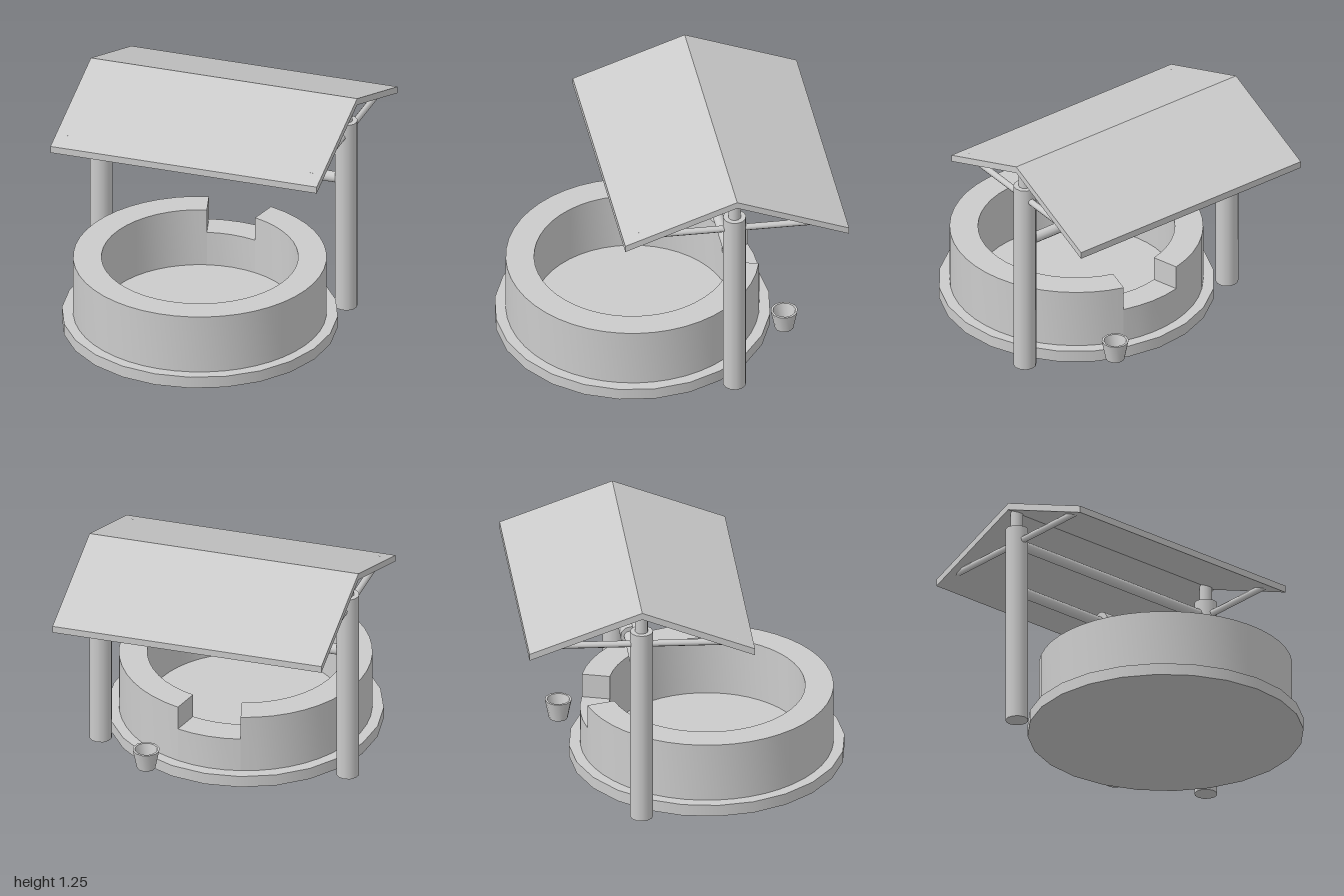
import * as THREE from 'three';
import { toCreasedNormals } from 'three/addons/utils/BufferGeometryUtils.js';

const material = new THREE.MeshStandardMaterial({ color: 0xcccccc });
const openMaterial = new THREE.MeshStandardMaterial({ color: 0xcccccc, side: THREE.DoubleSide });
const V = (x, y, z) => new THREE.Vector3(x, y, z);

export function createModel() {
  const model = new THREE.Group();

  const add = (name, geometry, x = 0, y = 0, z = 0, mat = material) => {
    const mesh = new THREE.Mesh(geometry, mat);
    mesh.name = name;
    mesh.position.set(x, y, z);
    model.add(mesh);
    return mesh;
  };

  // Round bar between two points
  const rod = (name, a, b, radius, sides = 12) => {
    const mesh = add(name, new THREE.CylinderGeometry(radius, radius, a.distanceTo(b), sides));
    mesh.position.copy(a).add(b).multiplyScalar(0.5);
    mesh.quaternion.setFromUnitVectors(V(0, 1, 0), b.clone().sub(a).normalize());
    return mesh;
  };

  // Part of a ring wall, swept from angle a0 to a1 in 15 degree facets
  const ringSector = (inner, outer, height, a0, a1) => {
    const start = THREE.MathUtils.degToRad(a0), end = THREE.MathUtils.degToRad(a1);
    const shape = new THREE.Shape();
    shape.absarc(0, 0, outer, start, end, false);
    shape.absarc(0, 0, inner, end, start, true);
    shape.closePath();
    const geometry = new THREE.ExtrudeGeometry(shape, {
      depth: height, bevelEnabled: false, curveSegments: Math.round((a1 - a0) / 15),
    });
    geometry.rotateX(-Math.PI / 2);
    return toCreasedNormals(geometry, 0.5);
  };

  // Stone base and wall, with a lowered notch on one side
  const wellX = -0.27, wellZ = 0.2, baseTop = 0.065;
  add('base', new THREE.CylinderGeometry(0.73, 0.73, baseTop, 24), wellX, baseTop / 2, wellZ);
  add('wall', ringSector(0.52, 0.67, 0.33, 45, 375), wellX, baseTop, wellZ);
  add('wallNotch', ringSector(0.52, 0.67, 0.195, 15, 45), wellX, baseTop, wellZ);

  // Frame axes: across the roof and along its ridge
  const across = V(0.526, 0, -0.281);
  const along = V(0.767, 0, 1.262);
  const acrossUnit = across.clone().normalize();
  const center = V(0.09, 0, -0.021);
  const front = V(0.44, 0, 0.56), back = V(-0.265, 0, -0.6);

  // Posts with narrow tops and a cross bar under the roof
  for (const [side, foot] of [['front', front], ['back', back]]) {
    add(side + 'Post', new THREE.CylinderGeometry(0.061, 0.061, 1.11, 12), foot.x, 0.555, foot.z);
    add(side + 'PostTop', new THREE.CylinderGeometry(0.034, 0.034, 0.12, 12), foot.x, 1.16, foot.z);
    const mid = foot.clone().setY(1.035);
    rod(side + 'CrossBar', mid.clone().addScaledVector(acrossUnit, -0.51),
      mid.clone().addScaledVector(acrossUnit, 0.51), 0.018, 8);
  }

  // Beam, winding shaft and drum
  rod('beam', front.clone().setY(1.03), back.clone().setY(1.03), 0.028);
  rod('shaft', front.clone().setY(0.76), back.clone().setY(0.76), 0.029);
  const axis = front.clone().sub(back).normalize();
  const hub = V(0.09, 0.762, -0.005);
  rod('drum', hub.clone().addScaledVector(axis, -0.1), hub.clone().addScaledVector(axis, 0.1), 0.054, 10);

  // Gable roof of even thickness, slightly skewed along the ridge
  const gable = new THREE.Shape([[-1, 0.98], [0, 1.21], [1, 0.98], [1, 1.018], [0, 1.248], [-1, 1.018]]
    .map(([u, y]) => new THREE.Vector2(u, y)));
  const roof = new THREE.ExtrudeGeometry(gable, { depth: 1, bevelEnabled: false });
  roof.translate(0, 0, -0.5);
  roof.applyMatrix4(new THREE.Matrix4().makeBasis(across, V(0, 1, 0), along));
  add('roof', roof, center.x, 0, center.z);

  // Hollow tapered bucket
  const profile = [[0, 0], [0.05, 0], [0.072, 0.11], [0.06, 0.11], [0.042, 0.02], [0, 0.02]]
    .map(([r, y]) => new THREE.Vector2(r, y));
  add('bucket', toCreasedNormals(new THREE.LatheGeometry(profile, 12), 0.7), 0.545, 0.066, 0.092, openMaterial);

  return model;
}
